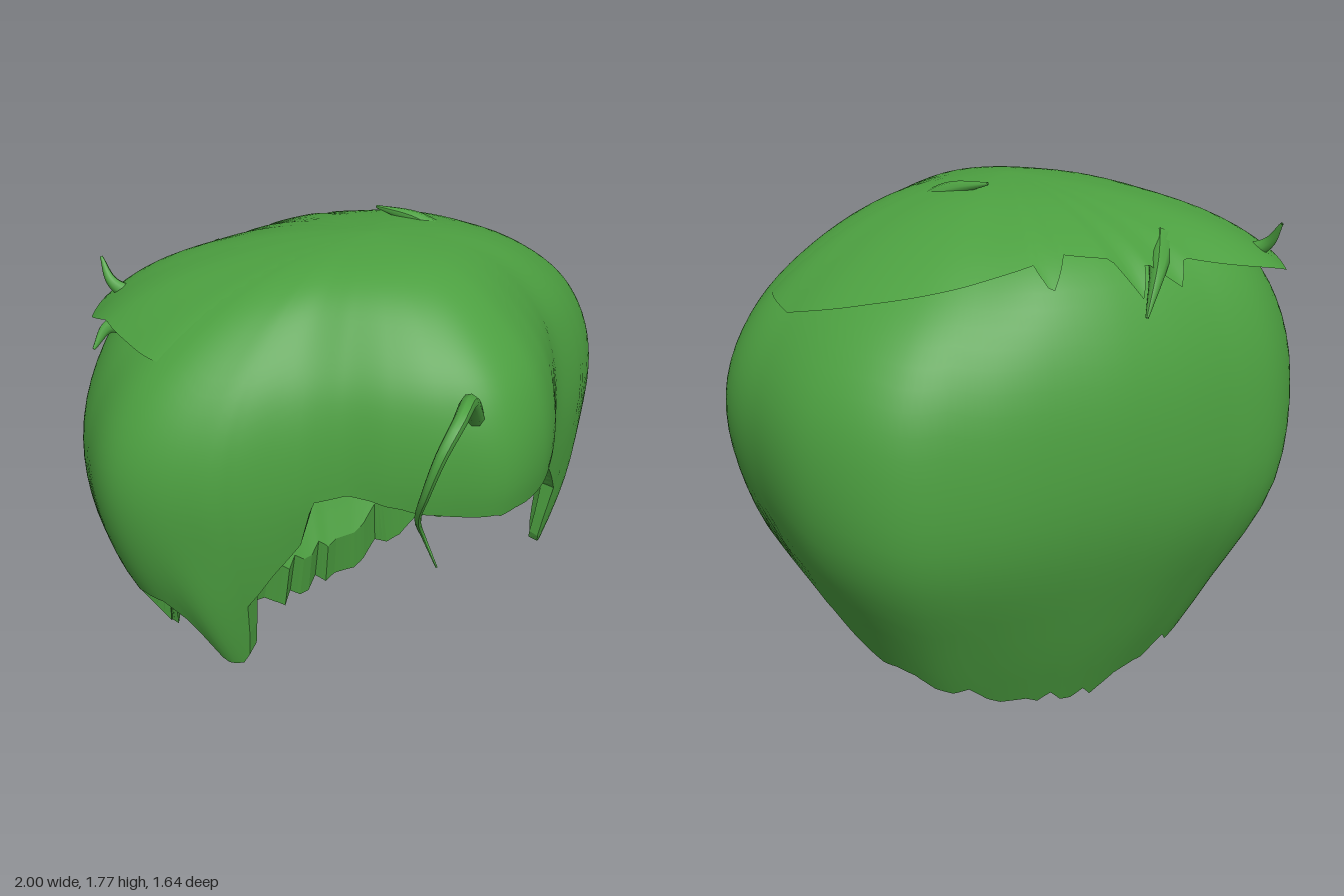
import * as THREE from 'three';

const COLS = 240, ROWS = 30, TOP = 1.77;
const { lerp, smoothstep, clamp, degToRad } = THREE.MathUtils;

// Plan outline: radius every 15 degrees, from the front (+z) round through +x
const OUTLINE = [.71, .70, .66, .635, .67, .85, 1, 1.01, 1.02, .985, .885, .83, .82,
  .83, .87, .96, .99, 1, .995, .84, .66, .60, .61, .65];
// Fullness of the upper shoulder at the same angles
const SHOULDER = [1, 1, .98, .97, .97, .98, .98, .94, .9, .89, .94, 1, 1,
  1, 1.02, 1.05, 1.05, 1.01, .97, .92, .91, .94, .97, 1];
// Radius fraction at equal steps of sqrt(depth below the crown)
const FRONT = [0, .40, .69, .93, 1, .87, .72, .6];
const SIDE = [0, .33, .64, .88, .99, .93, .72, .52];
const BACK = [0, .38, .72, .90, .99, .975, .8, .57];
// Hem height by angle away from the front: fringe, face edge, side lock, nape
const HEM = [[0, 1.04], [20, 1.06], [43, 1.12], [53, 1.09], [57, .93], [65, .8], [70.5, .69],
  [73, .47], [75, .425], [79, .43], [81, .49], [84, .62], [87, .69], [92, .7], [98, .66],
  [105, .42], [122, .25], [150, .11], [168, .06], [180, .01]];
// Lower edge of the crown layer, by full angle
const CROWN = [[0, 1.6], [80, 1.5], [105, 1.44], [125, 1.5], [145, 1.55], [162, 1.6], [166, 1.53],
  [171, 1.62], [184, 1.6], [189, 1.49], [194, 1.58], [201, 1.5], [206, 1.57], [222, 1.5],
  [235, 1.44], [245, 1.5], [280, 1.5], [360, 1.6]];

let seed = 7;
const rand = () => (seed = (seed * 16807) % 2147483647) / 2147483647;
const JAGS = Array.from({ length: COLS / 3 + 1 }, (_, i) => [i * 4.5, rand() - 0.5]);

function spline(list, x, closed) {
  const n = list.length, i = Math.floor(x), f = x - i;
  const at = k => closed ? list[(k + n) % n] : list[clamp(k, 0, n - 1)];
  const [a, b, c, d] = [at(i - 1), at(i), at(i + 1), at(i + 2)];
  return b + 0.5 * f * (c - a + f * (2 * a - 5 * b + 4 * c - d + f * (3 * (b - c) + d - a)));
}

function table(pairs, x) {
  const i = clamp(pairs.findIndex(p => p[0] >= x), 1, pairs.length - 1);
  const [a, b] = [pairs[i - 1], pairs[i]];
  return lerp(a[1], b[1], (x - a[0]) / (b[0] - a[0]));
}

const fromFront = deg => Math.min(deg, 360 - deg);
const bump = (x, centre, width) => Math.exp(-(((x - centre) / width) ** 2));

function radius(deg, y, top) {
  const s = Math.sqrt(Math.max(top - y, 0)) / 0.2;
  const c = Math.cos(degToRad(deg)), n = Math.sin(degToRad(deg));
  const f = lerp(spline(SIDE, s), spline(c > 0 ? FRONT : BACK, s), c * c);
  // The waist between fringe and sides fades into an oval towards the crown
  let plan = spline(OUTLINE, deg / 15, true);
  if (c > 0) plan = lerp(plan, 1 / Math.hypot(n, c / 0.71), 0.8 * (1 - smoothstep(s, 0, 4)));
  const shoulder = lerp(1, spline(SHOULDER, deg / 15, true), bump(s, 2, 1.1));
  const nape = c < 0 ? 1 + 0.05 * (2 * n * c) ** 2 * bump(s, 5.3, 0.9) : 1;
  const lock = 0.05 * bump(fromFront(deg), 77, 5) * (1 - smoothstep(y, .45, 1));
  return plan * f * shoulder * nape + lock;
}

function hem(deg) {
  const a = fromFront(deg);
  const jag = table(JAGS, deg) * lerp(0.01, 0.08, smoothstep(a, 95, 115));
  return Math.max(0, table(HEM, a) + jag);
}

const polar = (deg, r, y) =>
  [r * Math.sin(degToRad(deg)), y, r * Math.cos(degToRad(deg))];

function outer(deg, t) {
  const y = TOP - (TOP - hem(deg)) * t * t;
  return polar(deg, radius(deg, y, TOP), y);
}

function inner(deg, t) {
  const a = fromFront(deg), top = 1.62;
  const low = hem(deg) + lerp(0.03, 0.2, smoothstep(a, 75, 115));
  const y = top - (top - low) * t * t;
  const scale = lerp(0.92, 0.82, smoothstep(a, 55, 85)) - 0.09 * smoothstep(a, 100, 160) * t ** 4;
  return polar(deg, radius(deg, y, top) * scale, y);
}

// Crown layer: lifts off the shell at the back and sinks into it at the front
function crown(deg, t) {
  const y = TOP - (TOP - table(CROWN, deg)) * t * t;
  const corner = 0.04 * bump(deg, 230, 18);
  const lift = (lerp(-0.03, 0.03, smoothstep(fromFront(deg), 70, 115)) + corner) * t * t;
  return polar(deg, radius(deg, y, TOP) + lift, y + lift * 0.5);
}

// Closed loft around the vertical axis
function loft(point, rows, flip = false) {
  const pos = [], idx = [];
  for (let i = 0; i <= rows; i++)
    for (let j = 0; j < COLS; j++) pos.push(...point(j * 360 / COLS, i / rows));
  for (let i = 0; i < rows; i++)
    for (let j = 0; j < COLS; j++) {
      const k = (j + 1) % COLS;
      const a = i * COLS + j, b = a + COLS, c = (i + 1) * COLS + k, d = i * COLS + k;
      idx.push(...(flip ? [a, c, b, a, d, c] : [a, b, c, a, c, d]));
    }
  const g = new THREE.BufferGeometry();
  g.setAttribute('position', new THREE.Float32BufferAttribute(pos, 3));
  g.setIndex(idx);
  g.computeVertexNormals();
  return g;
}

// Tapered strand along a smooth path
function strand(points, r) {
  const path = new THREE.CatmullRomCurve3(points.map(p => new THREE.Vector3(...p)));
  const n = 24, sides = 8;
  const g = new THREE.TubeGeometry(path, n, r, sides);
  const p = g.attributes.position, v = new THREE.Vector3();
  for (let i = 0; i < p.count; i++) {
    const u = Math.floor(i / (sides + 1)) / n;
    const c = path.getPointAt(u);
    v.fromBufferAttribute(p, i).sub(c).multiplyScalar(1 - 0.9 * u).add(c);
    p.setXYZ(i, v.x, v.y, v.z);
  }
  g.computeVertexNormals();
  return g;
}

export function createModel() {
  const group = new THREE.Group();
  const green = new THREE.MeshStandardMaterial({ color: 0x4c9f40, side: THREE.DoubleSide });
  green.name = 'hair green';
  const add = (name, geometry) => {
    const mesh = new THREE.Mesh(geometry, green);
    mesh.name = name;
    group.add(mesh);
  };

  add('outerHair', loft(outer, ROWS));
  add('innerHair', loft(inner, ROWS, true));

  // Flat-faced cut edge joining the two shells
  const rim = loft((deg, t) => t < 0.5 ? outer(deg, 1) : inner(deg, 1), 1).toNonIndexed();
  rim.computeVertexNormals();
  add('cutEdge', rim);

  add('crownLayer', loft(crown, 14));

  // Loose strands
  add('frontCurl', strand([[-.06, 1.36, .62], [-.11, 1.43, .67], [-.17, 1.49, .72], [-.25, 1.48, .78],
    [-.33, 1.4, .8], [-.36, 1.27, .77], [-.34, 1.15, .71], [-.29, 1.05, .68], [-.28, .97, .73]], .032));
  const tufts = [
    [[.32, 1.66, 0], [.24, 1.74, -.08], [.15, 1.775, -.19]],
    [[-.56, 1.5, -.42], [-.68, 1.57, -.54], [-.69, 1.65, -.6]],
    [[-.68, 1.48, -.3], [-.78, 1.5, -.37], [-.85, 1.44, -.36]],
    [[-.3, 1.61, -.5], [-.2, 1.56, -.65], [-.12, 1.45, -.73]],
  ];
  tufts.forEach((points, i) => add('tuft' + (i + 1), strand(points, .05)));
  return group;
}
